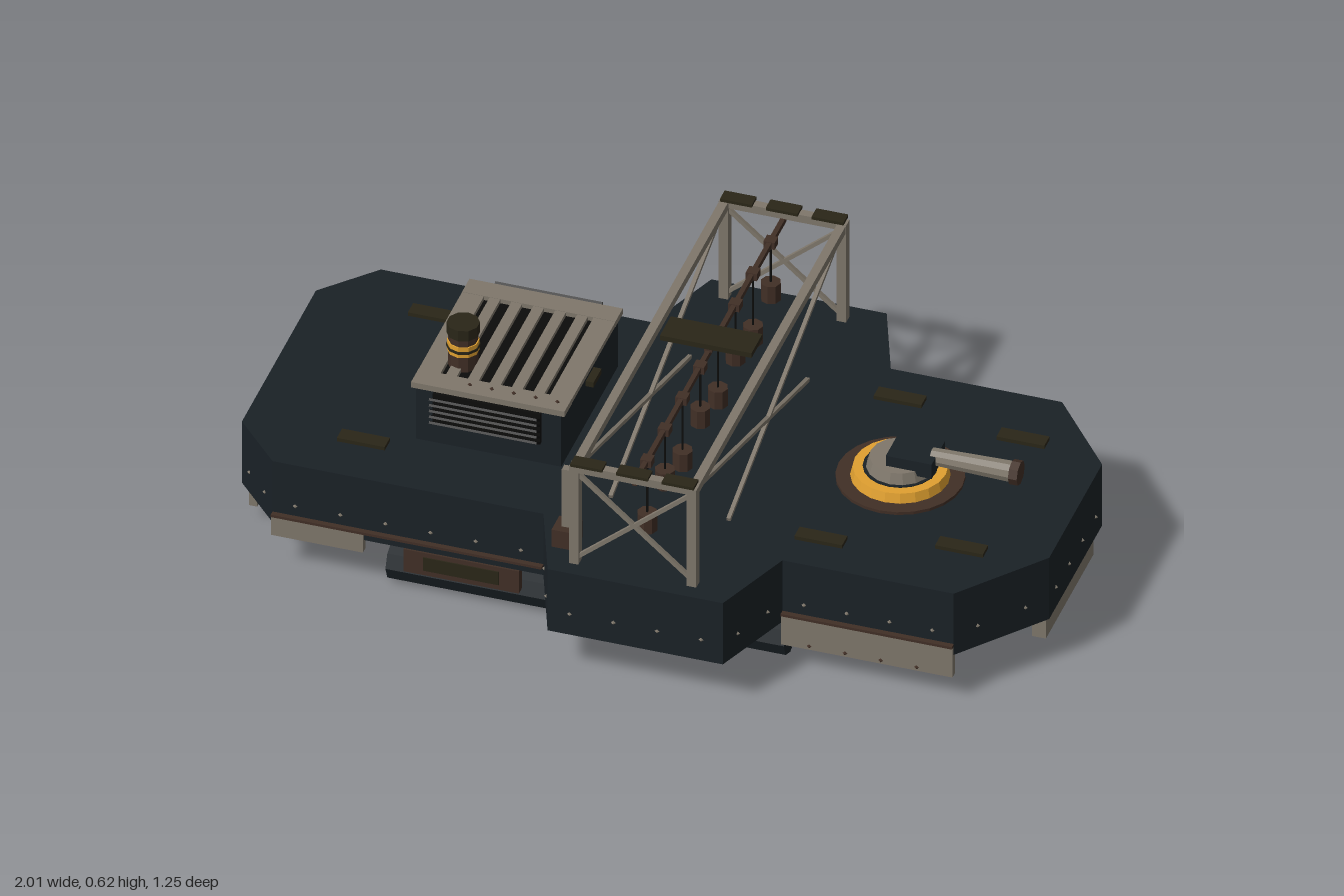
import * as THREE from 'three';

const mat = (color) => new THREE.MeshStandardMaterial({ color, flatShading: true });

export function createModel() {
  const root = new THREE.Group();
  const M = {
    hull: mat(0x1a2126), steel: mat(0x7f776b), rust: mat(0x412f26),
    gold: mat(0xe0a030), olive: mat(0x2a2618), black: mat(0x0c0c0b),
  };
  M.hull.side = THREE.DoubleSide;

  const add = (name, geo, m, x = 0, y = 0, z = 0, parent = root) => {
    const mesh = new THREE.Mesh(geo, M[m]);
    mesh.name = name;
    mesh.position.set(x, y, z);
    parent.add(mesh);
    return mesh;
  };
  // Box given by its limits on each axis
  const box = (name, m, x0, x1, y0, y1, z0, z1, parent) =>
    add(name, new THREE.BoxGeometry(x1 - x0, y1 - y0, z1 - z0), m,
      (x0 + x1) / 2, (y0 + y1) / 2, (z0 + z1) / 2, parent);
  // Upright cylinder from y0 to y1
  const drum = (name, m, x, z, y0, y1, rBottom, rTop, sides, parent) =>
    add(name, new THREE.CylinderGeometry(rTop, rBottom, y1 - y0, sides), m, x, (y0 + y1) / 2, z, parent);
  // Cylinder along x
  const shaft = (name, m, x0, x1, y, z, r0, r1, sides, parent) => {
    const geo = new THREE.CylinderGeometry(r1, r0, x1 - x0, sides).rotateZ(-Math.PI / 2);
    return add(name, geo, m, (x0 + x1) / 2, y, z, parent);
  };
  // Square bar between two points
  const bar = (name, m, a, b, w, parent) => {
    const p = new THREE.Vector3(...a), q = new THREE.Vector3(...b);
    const mesh = add(name, new THREE.BoxGeometry(w, w, p.distanceTo(q)), m, 0, 0, 0, parent);
    mesh.position.copy(p).add(q).multiplyScalar(0.5);
    mesh.lookAt(q);
    return mesh;
  };
  const group = (name) => {
    const g = new THREE.Group();
    g.name = name;
    root.add(g);
    return g;
  };

  // Hull: half outline mirrored across z
  const half = [[1, 0.2], [0.83, 0.41], [0.4, 0.41], [0.32, 0.62], [-0.12, 0.62],
    [-0.2, 0.41], [-0.88, 0.41], [-1, 0.28]];
  const outline = [...half, ...half.map(([x, z]) => [x, -z]).reverse()];
  const hullShape = new THREE.Shape(outline.map(([x, z]) => new THREE.Vector2(x, z)));
  const hullGeo = new THREE.ExtrudeGeometry(hullShape, { depth: 0.18, bevelEnabled: false });
  hullGeo.rotateX(-Math.PI / 2);
  add('hull', hullGeo, 'hull', 0, 0.13, 0);

  // Rivets along every hull side
  const rivets = group('hullRivets');
  const rivetGeo = new THREE.OctahedronGeometry(0.006);
  outline.forEach(([x, z], i) => {
    const [x2, z2] = outline[(i + 1) % outline.length];
    const n = Math.max(2, Math.round(Math.hypot(x2 - x, z2 - z) / 0.11));
    for (let k = 0; k < n; k++) {
      const t = (k + 0.5) / n;
      add('rivet', rivetGeo, 'steel', x + (x2 - x) * t, 0.19, z + (z2 - z) * t, rivets);
    }
  });

  // Skirts, edge strips, side boxes and pontoons on both flanks
  for (const s of [-1, 1]) {
    const side = group(s > 0 ? 'frontFlank' : 'backFlank');
    const flank = (name, m, x0, x1, y0, y1, zi, zo) =>
      box(name, m, x0, x1, y0, y1, Math.min(s * zi, s * zo), Math.max(s * zi, s * zo), side);
    flank('longSkirt', 'steel', 0.4, 0.83, 0.07, 0.155, 0.4, 0.42);
    flank('shortSkirt', 'steel', -0.88, -0.65, 0.1, 0.155, 0.4, 0.42);
    flank('edgeStrip', 'rust', 0.4, 0.83, 0.155, 0.162, 0.4, 0.424);
    flank('edgeStrip', 'rust', -0.88, -0.2, 0.155, 0.162, 0.4, 0.424);
    flank('sideBox', 'rust', -0.55, -0.26, 0.065, 0.13, 0.39, 0.415);
    flank('sideBoxPanel', 'olive', -0.5, -0.31, 0.08, 0.118, 0.41, 0.418);
    for (let i = 0; i < 4; i++) add('skirtRivet', rivetGeo, 'rust', 0.47 + i * 0.09, 0.08, s * 0.42, side);
    shaft('pontoon', 'hull', -0.6, 0.4, 0.05, s * 0.35, 0.05, 0.05, 8, side);
    // Fairlead ring at the tail
    const ring = add('tailRing', new THREE.TorusGeometry(0.032, 0.013, 6, 8), 'rust', -0.962, 0.085, s * 0.18, side);
    ring.rotation.y = Math.PI / 2;
    ring.scale.z = 1.6;
  }
  box('keelBar', 'rust', -0.9, 0.76, 0.013, 0.037, -0.016, 0.016);
  box('bowPlate', 'steel', 0.95, 0.985, 0.055, 0.13, -0.18, 0.18);
  box('tailPlate', 'steel', -0.992, -0.972, 0.045, 0.13, -0.25, 0.25);

  // Deck hatches
  for (const [x, z] of [[-0.7, -0.272], [-0.7, 0.265], [0.79, -0.235], [0.79, 0.23], [0.46, -0.3], [0.46, 0.3]]) {
    box('deckHatch', 'olive', x - 0.06, x + 0.06, 0.31, 0.32, z - 0.02, z + 0.02);
  }

  // Engine house with slotted roof and angled louvres
  const house = group('engineHouse');
  box('houseBody', 'hull', -0.585, -0.22, 0.31, 0.462, -0.215, 0.215, house);
  box('roofWell', 'black', -0.56, -0.24, 0.46, 0.466, -0.19, 0.19, house);
  for (const s of [-1, 1]) {
    box('roofEnd', 'steel', -0.595, -0.21, 0.462, 0.478, s * 0.193 - 0.028, s * 0.193 + 0.028, house);
    box('louvreBack', 'black', -0.54, -0.27, 0.37, 0.458, s * 0.218 - 0.006, s * 0.218 + 0.006, house);
    for (let i = 0; i < 5; i++) {
      const slat = box('louvreSlat', 'black', -0.54, -0.27, -0.003, 0.003, -0.019, 0.019, house);
      slat.position.set(-0.405, 0.382 + i * 0.017, s * 0.236);
      slat.rotation.x = -s * 0.6;
    }
  }
  for (let i = 0; i < 7; i++) {
    const x = -0.5675 + i * 0.055, w = i % 6 ? 0.0135 : 0.0275;
    box('roofSlat', 'steel', x - w, x + w, 0.464, 0.477, -0.17, 0.17, house);
    if (i > 1) add('roofBolt', rivetGeo, 'rust', x, 0.48, 0.19, house);
  }
  box('houseLatch', 'olive', -0.225, -0.2, 0.42, 0.435, -0.03, 0.03, house);

  // Chimney
  const chimney = group('chimney');
  drum('chimneyPipe', 'rust', -0.505, 0.097, 0.465, 0.56, 0.036, 0.036, 10, chimney);
  drum('chimneyBand', 'gold', -0.505, 0.097, 0.51, 0.54, 0.039, 0.039, 10, chimney);
  drum('chimneyBelt', 'olive', -0.505, 0.097, 0.521, 0.528, 0.041, 0.041, 10, chimney);
  drum('chimneyCap', 'olive', -0.505, 0.097, 0.56, 0.59, 0.04, 0.04, 10, chimney);

  // Gun turret pointing along +x
  const turret = group('turret');
  drum('turretPlate', 'rust', 0.56, 0, 0.31, 0.318, 0.155, 0.155, 24, turret);
  drum('turretRing', 'gold', 0.56, 0, 0.318, 0.343, 0.12, 0.114, 20, turret);
  drum('turretGap', 'hull', 0.56, 0, 0.34, 0.345, 0.09, 0.09, 20, turret);
  drum('turretDrum', 'steel', 0.56, 0, 0.343, 0.373, 0.083, 0.074, 16, turret);
  box('gunMount', 'hull', 0.54, 0.655, 0.36, 0.402, -0.05, 0.05, turret);
  shaft('gunBarrel', 'steel', 0.64, 0.845, 0.39, 0, 0.022, 0.027, 10, turret);
  shaft('gunMuzzle', 'rust', 0.84, 0.862, 0.39, 0, 0.031, 0.031, 8, turret);

  // Gantry across the deck
  const gantry = group('gantry');
  const xa = -0.068, xb = 0.228, ze = 0.567;
  for (const x of [xa, xb]) {
    bar('gantryBeam', 'steel', [x, 0.583, -0.58], [x, 0.583, 0.58], 0.022, gantry);
    for (const s of [-1, 1]) {
      box('gantryPost', 'steel', x - 0.012, x + 0.012, 0.31, 0.595, s * ze - 0.013, s * ze + 0.013, gantry);
      bar('longBrace', 'steel', [x, 0.58, s * 0.555], [x, 0.315, -s * 0.3], 0.01, gantry);
    }
  }
  for (const s of [-1, 1]) {
    const z = s * ze;
    bar('endBeam', 'steel', [xa, 0.588, z], [xb, 0.588, z], 0.022, gantry);
    bar('endBrace', 'steel', [xa, 0.575, z], [xb, 0.32, z], 0.01, gantry);
    bar('endBrace', 'steel', [xb, 0.575, z], [xa, 0.32, z], 0.01, gantry);
    for (const x of [-0.035, 0.08, 0.195]) {
      box('beamCap', 'olive', x - 0.04, x + 0.04, 0.598, 0.606, z - 0.018, z + 0.018, gantry);
    }
  }
  box('hoistRail', 'rust', 0.074, 0.086, 0.564, 0.578, -ze, ze, gantry);
  box('topPlateStem', 'rust', 0.07, 0.09, 0.575, 0.607, -0.01, 0.01, gantry);
  box('topPlate', 'olive', -0.03, 0.2, 0.606, 0.62, -0.041, 0.041, gantry);

  // Weights hanging from the hoist rail, alternating in height
  for (let i = 0; i < 8; i++) {
    const z = 0.468 - i * 0.1335, y = i % 2 ? 0.43 : 0.395;
    box('weightWire', 'black', 0.078, 0.082, y, 0.566, z - 0.002, z + 0.002, gantry);
    drum('weight', 'rust', 0.08, z, y - 0.025, y + 0.025, 0.025, 0.025, 8, gantry);
    box('railClamp', 'rust', 0.066, 0.094, 0.56, 0.58, z - 0.014, z + 0.014, gantry);
  }

  // Signal mast
  box('mastBase', 'rust', -0.14, -0.082, 0.31, 0.36, 0.47, 0.53);
  box('mast', 'steel', -0.121, -0.101, 0.36, 0.528, 0.49, 0.51);

  return root;
}
